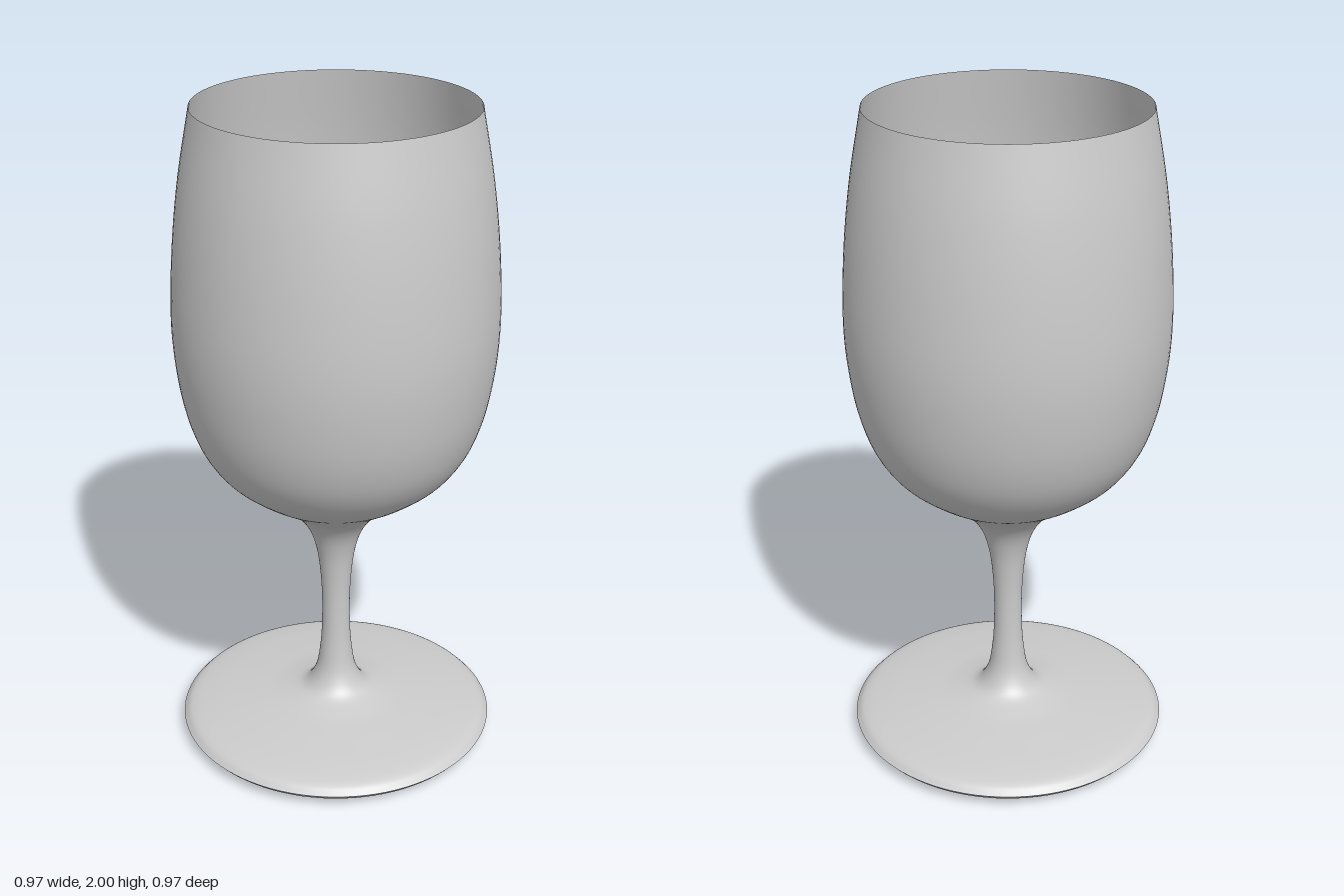
import * as THREE from 'three';

const SIDES = 96;

// Revolves a smooth curve through [radius, height] points
function turned(name, points, steps, material) {
  const curve = new THREE.CatmullRomCurve3(
    points.map(([r, y]) => new THREE.Vector3(r, y, 0)), false, 'centripetal');
  const profile = curve.getPoints(steps).map(p => new THREE.Vector2(Math.max(p.x, 0), Math.max(p.y, 0)));
  const mesh = new THREE.Mesh(new THREE.LatheGeometry(profile, SIDES), material);
  mesh.name = name;
  return mesh;
}

export function createModel() {
  const glass = new THREE.Group();
  glass.name = 'goblet';
  const material = new THREE.MeshStandardMaterial({ color: 0xcccccc, side: THREE.DoubleSide });

  // Flat underside, rounding up to the edge of the foot
  glass.add(turned('footUnderside', [
    [0, 0.004], [0.2, 0.003], [0.35, 0.002], [0.42, 0.008], [0.465, 0.02], [0.487, 0.042],
  ], 40, material));

  // Foot top, stem and outer bowl in one flowing profile
  glass.add(turned('footStemAndBowl', [
    [0.487, 0.042], [0.465, 0.062], [0.4, 0.078], [0.28, 0.094], [0.17, 0.108],
    [0.1, 0.13], [0.066, 0.18], [0.049, 0.27], [0.043, 0.4], [0.047, 0.52],
    [0.06, 0.62], [0.083, 0.69], [0.122, 0.745], [0.19, 0.798], [0.27, 0.85],
    [0.345, 0.912], [0.4, 0.99], [0.438, 1.09], [0.463, 1.22], [0.474, 1.37],
    [0.465, 1.58], [0.441, 1.79], [0.403, 2],
  ], 140, material));

  // Thin-walled inside of the bowl, closed above the stem
  glass.add(turned('bowlInside', [
    [0.403, 2], [0.436, 1.79], [0.459, 1.58], [0.467, 1.37], [0.456, 1.22],
    [0.43, 1.09], [0.392, 1.0], [0.337, 0.925], [0.263, 0.868], [0.18, 0.825],
    [0.09, 0.798], [0, 0.79],
  ], 80, material));

  return glass;
}
